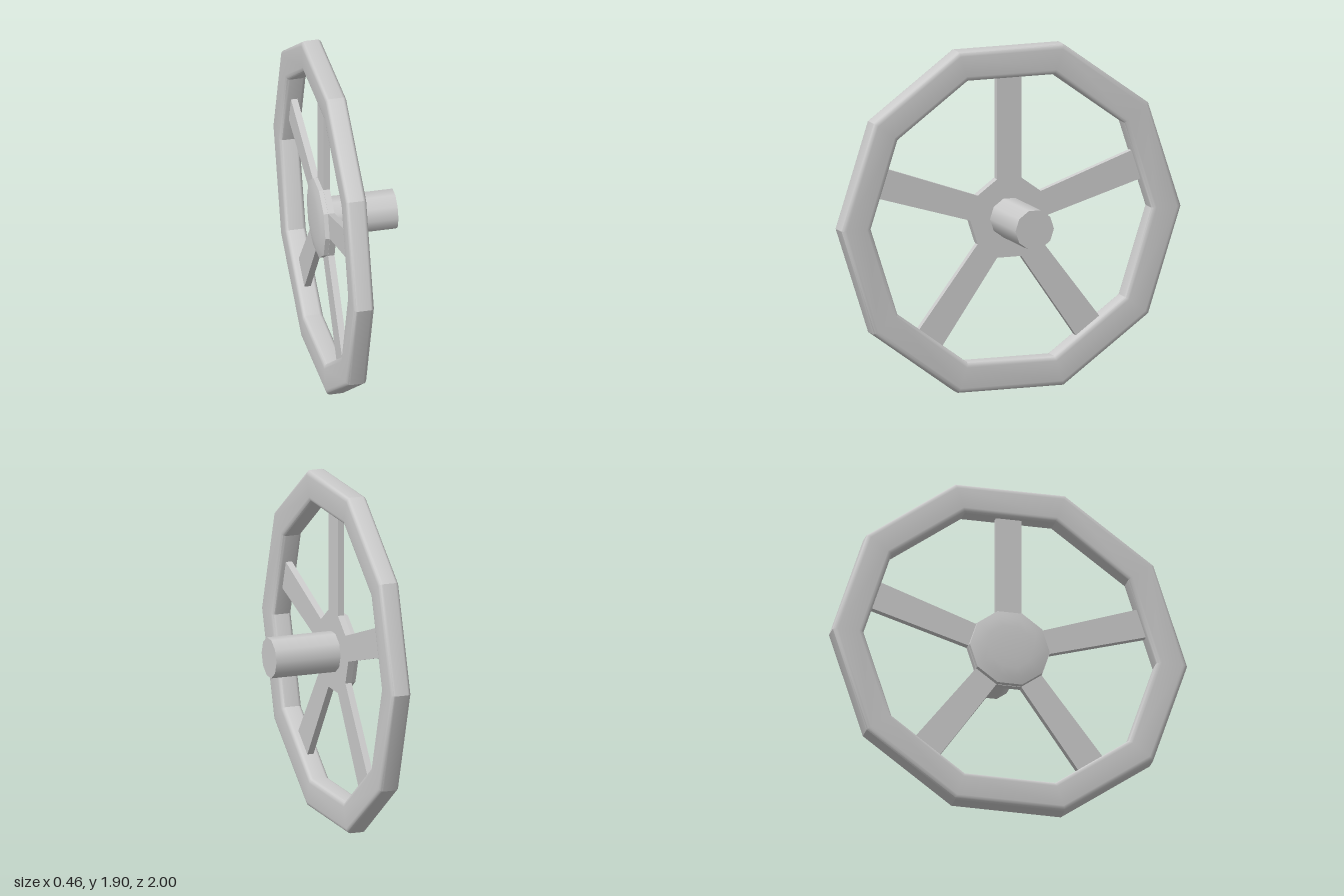
import * as THREE from 'three';
import { toCreasedNormals } from 'three/addons/utils/BufferGeometryUtils.js';

const SIDES = 10;
const AXLE_Y = 0.951;
const WHEEL_X = -0.168;

export function createModel() {
  const model = new THREE.Group();
  model.name = 'wheel';
  const material = new THREE.MeshStandardMaterial({ color: 0xcccccc });

  const add = (name, geometry, x) => {
    const mesh = new THREE.Mesh(geometry, material);
    mesh.name = name;
    mesh.position.set(x, AXLE_Y, 0);
    model.add(mesh);
  };
  // Ten-sided lathe turned so that its axis lies along +x
  const turned = (points) => toCreasedNormals(
    new THREE.LatheGeometry(points, SIDES).rotateZ(-Math.PI / 2), Math.PI / 6);

  // Rim: rounded rectangular section swept round the decagon
  const half = 0.0575, inner = 0.825, outer = 1, cr = 0.028, cx = 0.022;
  const corners = [
    [outer - cr, -half + cx, -90], [outer - cr, half - cx, 0],
    [inner + cr, half - cx, 90], [inner + cr, -half + cx, 180],
  ];
  const section = [];
  for (const [r, y, start] of corners) {
    for (let i = 0; i <= 4; i++) {
      const a = THREE.MathUtils.degToRad(start + i * 22.5);
      section.push(new THREE.Vector2(r + cr * Math.cos(a), y + cx * Math.sin(a)));
    }
  }
  section.push(section[0].clone());
  add('rim', turned(section), WHEEL_X);

  // Five spokes and the hub plate, cut from one flat sheet
  const hubR = 0.23, reach = 0.84, thickness = 0.036;
  const outline = [];
  for (let k = 0; k < 5; k++) {
    const a = Math.PI / 2 + k * Math.PI * 0.4;
    const w = k === 0 ? 0.073 : 0.086;
    const root = hubR * Math.cos(Math.PI / 10), rootW = hubR * Math.sin(Math.PI / 10);
    for (const [r, s] of [[root, -rootW], [reach, -w], [reach, w], [root, rootW]]) {
      outline.push(new THREE.Vector2(
        r * Math.cos(a) - s * Math.sin(a), r * Math.sin(a) + s * Math.cos(a)));
    }
  }
  const spokes = new THREE.ExtrudeGeometry(new THREE.Shape(outline),
    { depth: thickness, bevelEnabled: false });
  spokes.translate(0, 0, -thickness / 2).rotateY(Math.PI / 2);
  add('spokes', spokes, WHEEL_X);

  // Shallow domed hub cap on the outer side
  const cap = [[0, -0.062], [0.07, -0.061], [0.13, -0.0585], [0.18, -0.053],
    [0.225, -0.042], [hubR, 0.01]].map(([r, y]) => new THREE.Vector2(r, y));
  add('hubCap', turned(cap), WHEEL_X);

  // Axle stub
  const length = 0.385;
  const axle = new THREE.CylinderGeometry(0.113, 0.113, length, SIDES).rotateZ(-Math.PI / 2);
  add('axle', axle, 0.226 - length / 2);

  return model;
}
